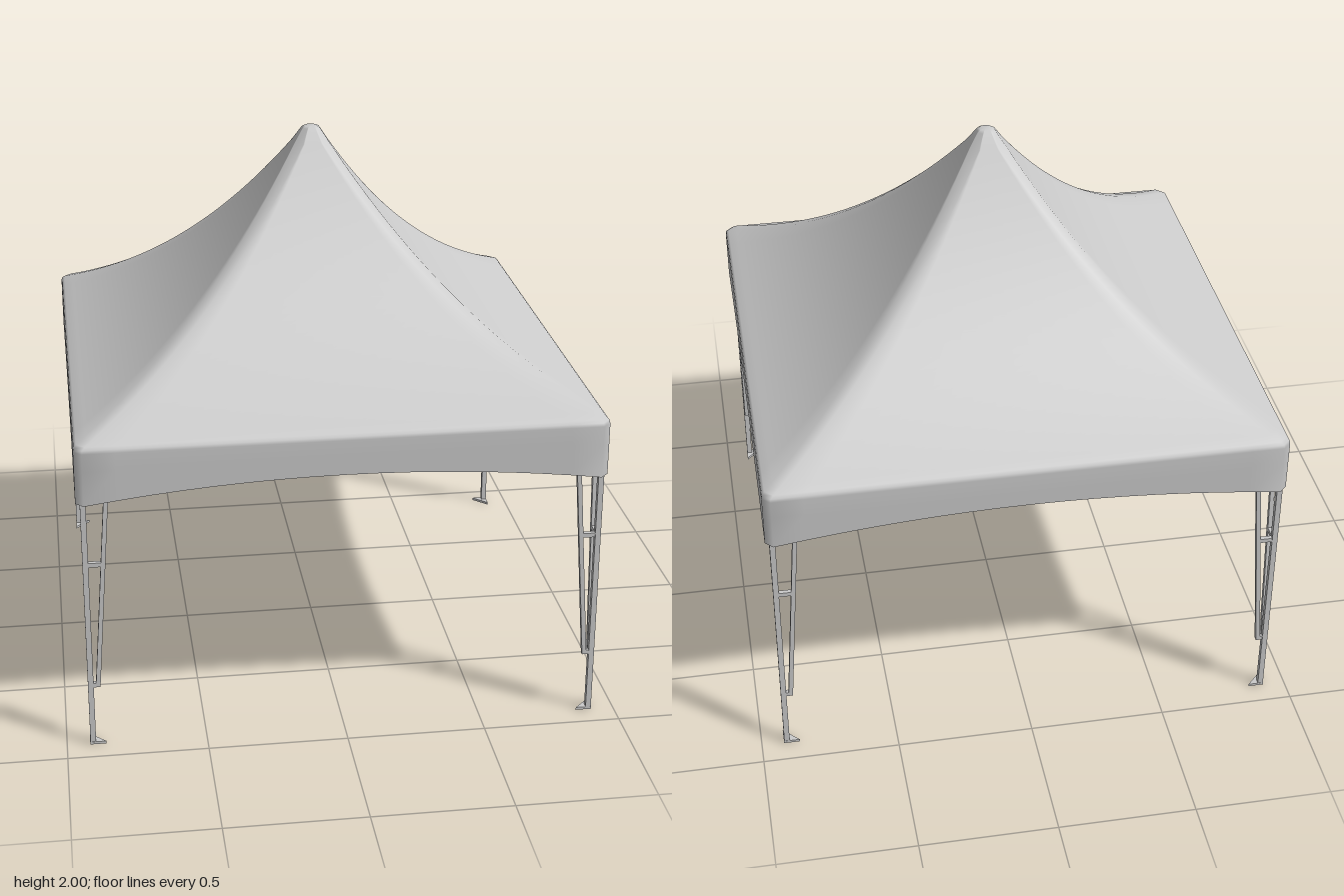
import * as THREE from 'three';

const metal = new THREE.MeshStandardMaterial({ color: 0xcccccc });
const fabric = new THREE.MeshStandardMaterial({ color: 0xcccccc, side: THREE.DoubleSide });

const EAVE = 0.932;  // half width of the canopy
const POST = 0.907;  // post centre line

// Square bar between two points
function bar(name, from, to, size) {
  const a = new THREE.Vector3(...from), b = new THREE.Vector3(...to);
  const mesh = new THREE.Mesh(new THREE.BoxGeometry(size, size, a.distanceTo(b)), metal);
  mesh.position.copy(a).add(b).multiplyScalar(0.5);
  mesh.lookAt(b);
  mesh.name = name;
  return mesh;
}

// Canopy skin: chamfered square rings stacked from the peak to the arched hem
function canopyGeometry() {
  const SEG = 16, ROWS = 28;
  const rings = [{ h: 0.022, y: () => 2 }];
  for (let i = ROWS; i >= 0; i--) {
    const t = 0.012 + (0.888 * i) / ROWS;
    const y = 1.15 + 0.46 * t + 0.35 * t * t + 0.2 * t ** 3;
    rings.push({ h: EAVE - t, y: () => y });
  }
  rings.push({ h: EAVE - 0.003, y: () => 1.147 });
  rings.push({ h: EAVE, y: () => 1.135 });
  rings.push({ h: EAVE, y: () => 1.07 });
  rings.push({ h: EAVE, y: s => 1.007 - 0.065 * s * s });

  const pos = [0, 2, 0], index = [];
  const n = 4 * (SEG + 1);
  for (const { h, y } of rings) {
    const c = Math.min(0.028, h * 0.5);
    for (let side = 0; side < 4; side++) {
      for (let k = 0; k <= SEG; k++) {
        const s = -1 + (2 * k) / SEG;
        let x = h, z = (h - c) * s;
        for (let r = 0; r < side; r++) [x, z] = [-z, x];
        pos.push(x, y(s), z);
      }
    }
  }
  for (let j = 0; j < n; j++) {
    const j2 = (j + 1) % n;
    index.push(0, 1 + j2, 1 + j);
    for (let i = 0; i < rings.length - 1; i++) {
      const a = 1 + i * n + j, b = 1 + i * n + j2;
      index.push(a, b, b + n, a, b + n, a + n);
    }
  }
  const geo = new THREE.BufferGeometry();
  geo.setAttribute('position', new THREE.Float32BufferAttribute(pos, 3));
  geo.setIndex(index);
  geo.computeVertexNormals();
  return geo;
}

// Corner leg at +x +z: post, triangular foot and two leaning braces
function createLeg() {
  const leg = new THREE.Group();
  leg.name = 'leg';
  leg.add(bar('post', [POST, 0, POST], [POST, 1.13, POST], 0.02));

  const o = POST + 0.011, f = 0.058;
  const tri = new THREE.Shape([
    new THREE.Vector2(o, -o), new THREE.Vector2(o, -o + f), new THREE.Vector2(o - f, -o),
  ]);
  const foot = new THREE.Mesh(
    new THREE.ExtrudeGeometry(tri, { depth: 0.01, bevelEnabled: false }), metal);
  foot.rotation.x = -Math.PI / 2;
  foot.name = 'foot';
  leg.add(foot);

  // Offset d is measured inward from the post along x or along z
  const at = (alongX, d, y) => (alongX ? [POST - d, y, POST] : [POST, y, POST - d]);
  for (const alongX of [true, false]) {
    leg.add(bar('brace', at(alongX, 0.026, 0.23), at(alongX, 0.09, 1.11), 0.016));
    leg.add(bar('lowerBracket', at(alongX, 0, 0.238), at(alongX, 0.034, 0.238), 0.016));
    leg.add(bar('crossbar', at(alongX, 0, 0.71), at(alongX, 0.061, 0.71), 0.016));
  }
  return leg;
}

export function createModel() {
  const model = new THREE.Group();
  model.name = 'canopyTent';

  const canopy = new THREE.Mesh(canopyGeometry(), fabric);
  canopy.name = 'canopy';
  model.add(canopy);

  // One leg, eave beam and hip rafter per corner
  for (let i = 0; i < 4; i++) {
    const corner = new THREE.Group();
    corner.name = 'cornerFrame';
    corner.add(createLeg());
    corner.add(bar('eaveBeam', [-POST, 1.115, POST], [POST, 1.115, POST], 0.024));
    corner.add(bar('hipRafter', [POST, 1.115, POST], [0, 1.55, 0], 0.02));
    corner.rotation.y = (i * Math.PI) / 2;
    model.add(corner);
  }

  // Centre mast holding up the peak
  const mast = new THREE.Mesh(new THREE.CylinderGeometry(0.014, 0.014, 0.46, 12), metal);
  mast.position.y = 1.76;
  mast.name = 'peakMast';
  model.add(mast);

  return model;
}
